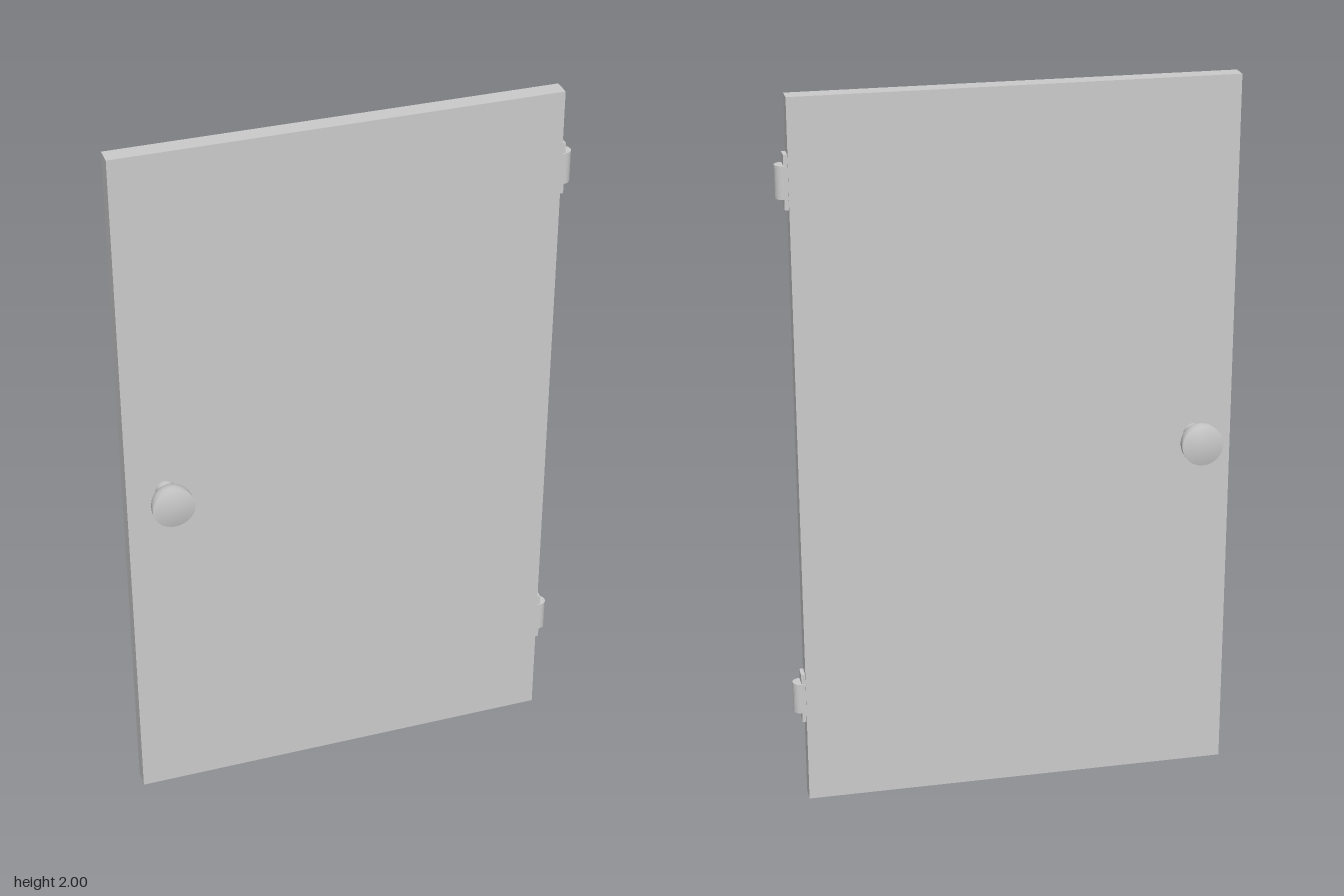
import * as THREE from 'three';

export function createModel() {
  const model = new THREE.Group();
  const material = new THREE.MeshStandardMaterial({ color: 0xcccccc });
  const add = (parent, name, geometry, x, y, z) => {
    const mesh = new THREE.Mesh(geometry, material);
    mesh.name = name;
    mesh.position.set(x, y, z);
    parent.add(mesh);
    return mesh;
  };
  const midZ = 0.005;

  // Door slab
  add(model, 'doorPanel', new THREE.BoxGeometry(1.191, 2, 0.049), -0.0165, 1, midZ);

  // Knob and stem, turned around the z axis: flat end, bowl-shaped back
  const profile = [[0.0265, 0], [0.0265, 0.05], [0.029, 0.054]];
  for (let i = 0; i <= 8; i++) {
    const a = THREE.MathUtils.lerp(0.6, Math.PI / 2, i / 8);
    profile.push([0.057 * Math.sin(a), 0.107 - 0.06 * Math.cos(a)]);
  }
  profile.push([0.057, 0.122], [0, 0.122]);
  const knob = new THREE.LatheGeometry(profile.map(p => new THREE.Vector2(...p)), 32);
  for (const [name, side] of [['frontKnob', 1], ['backKnob', -1]]) {
    add(model, name, knob, -0.506, 1.01, 0).rotation.x = side * Math.PI / 2;
  }

  // Hinges: thin leaf plus a half-round barrel on the left edge
  const section = new THREE.Shape();
  section.moveTo(0, -0.022);
  section.lineTo(0.012, -0.022);
  section.absellipse(0.012, 0, 0.022, 0.022, -Math.PI / 2, Math.PI / 2, false);
  section.lineTo(0, 0.022);
  section.closePath();
  const barrel = new THREE.ExtrudeGeometry(section, { depth: 0.088, bevelEnabled: false, curveSegments: 8 });
  barrel.translate(0, 0, -0.044).rotateX(-Math.PI / 2);
  const leaf = new THREE.BoxGeometry(0.016, 0.146, 0.038);
  for (const [name, y] of [['upperHinge', 1.778], ['lowerHinge', 0.312]]) {
    const hinge = new THREE.Group();
    hinge.name = name;
    hinge.position.set(0.578, y, midZ);
    add(hinge, 'hingeLeaf', leaf, 0.004, 0, 0);
    add(hinge, 'hingeBarrel', barrel, 0, 0, 0);
    model.add(hinge);
  }
  return model;
}
